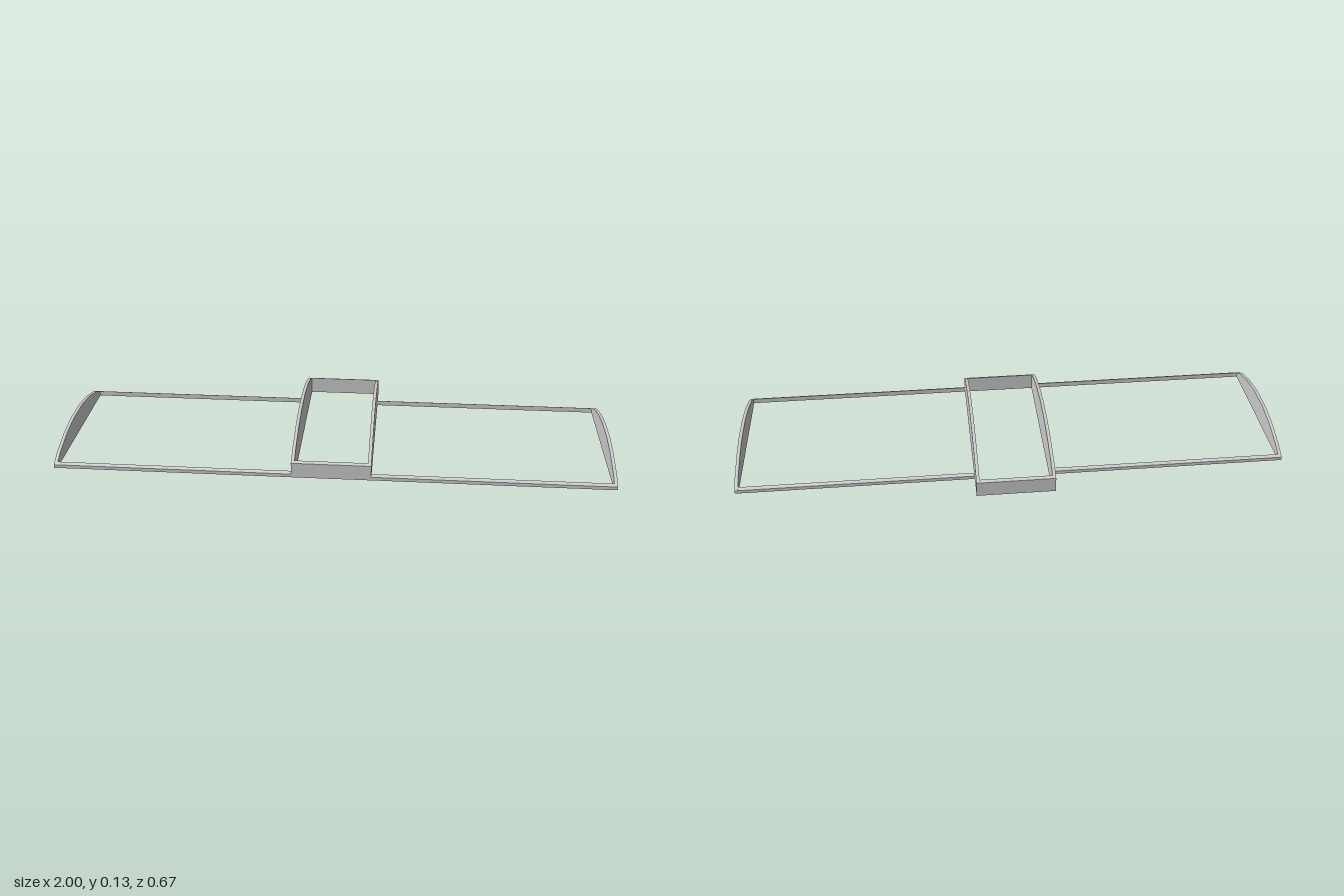
import * as THREE from 'three';

const T = 0.012; // board thickness
const material = new THREE.MeshStandardMaterial({ color: 0xcccccc, flatShading: true });

// Extrude a side profile of [z, y] points along x, from x0 to x1
function board(name, profile, x0, x1) {
  const shape = new THREE.Shape(profile.map(([z, y]) => new THREE.Vector2(z, y)));
  const geo = new THREE.ExtrudeGeometry(shape, { depth: x1 - x0, bevelEnabled: false });
  geo.rotateY(-Math.PI / 2).translate(x1, 0, 0);
  const mesh = new THREE.Mesh(geo, material);
  mesh.name = name;
  return mesh;
}

// Faceted arch on a flat base, mirrored about z = centre; half runs from the end to the crown
function arch(half, centre) {
  const top = [
    ...half.map(([z, y]) => [centre + z, y]),
    ...[...half].reverse().map(([z, y]) => [centre - z, y]),
  ];
  return [[top[0][0], 0], ...top, [top[top.length - 1][0], 0]];
}

// Board cross-section whose top slopes up from its outer face; dir points inward along z
const sloped = (z, dir, low, high, t) => [[z, 0], [z, low], [z + dir * t, high], [z + dir * t, 0]];

export function createModel() {
  const group = new THREE.Group();
  group.name = 'wingFrame';

  const F = 0.333, B = -0.238, W = 0.142;
  const centreArch = arch([[F, 0.058], [0.27, 0.085], [0.166, 0.113], [0.056, 0.128]], 0);
  const tipArch = arch([[0.2855, 0.013], [0.238, 0.037], [0.143, 0.065], [0.052, 0.078]], 0.0475);

  // Ribs and rails on both sides
  for (const [side, s] of [['left', 1], ['right', -1]]) {
    const span = (a, b) => (s > 0 ? [a, b] : [-b, -a]);
    group.add(
      board(side + 'CentreRib', centreArch, ...span(W - T, W)),
      board(side + 'TipRib', tipArch, ...span(1 - T, 1)),
      board(side + 'FrontRail', sloped(F, -1, 0.013, 0.019, T), ...span(W, 1 - T)),
      board(side + 'RearRail', sloped(B, 1, 0.013, 0.019, T), ...span(W, 1 - T)),
    );
  }

  // End boards closing the centre bay
  group.add(
    board('centreFrontBoard', sloped(F, -1, 0.058, 0.063, T), -W + T, W - T),
    board('centreRearBoard', sloped(-F, 1, 0.058, 0.063, T), -W + T, W - T),
  );
  return group;
}
